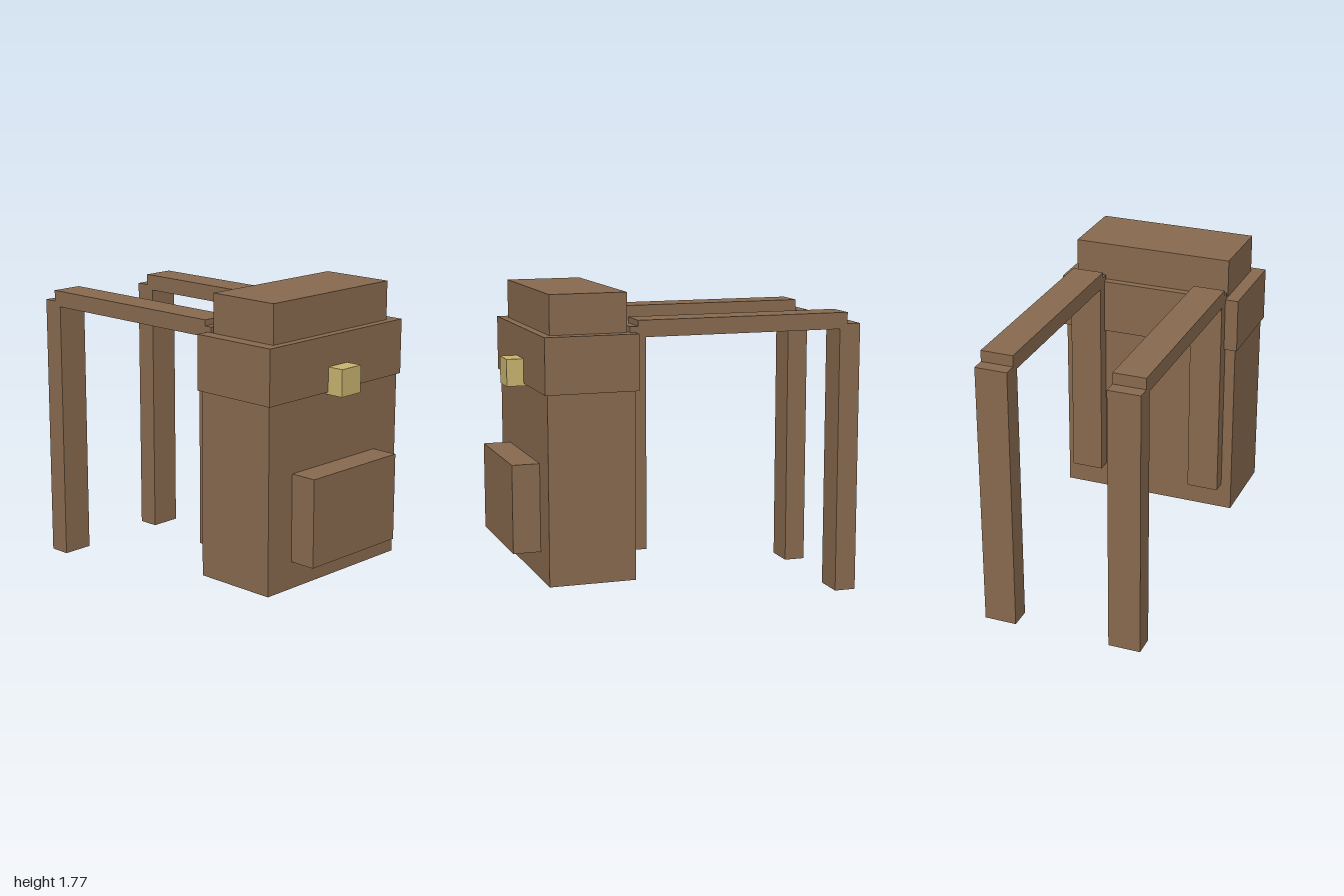
import * as THREE from 'three';

export function createModel() {
  const group = new THREE.Group();
  group.name = 'backpack';
  const leather = new THREE.MeshStandardMaterial({ color: 0x87694e });
  leather.name = 'brown leather';
  const brass = new THREE.MeshStandardMaterial({ color: 0xc8b26f });
  brass.name = 'pale brass';

  // Box given by its extents along each axis
  function box(name, material, [x0, x1], [y0, y1], [z0, z1]) {
    const mesh = new THREE.Mesh(new THREE.BoxGeometry(x1 - x0, y1 - y0, z1 - z0), material);
    mesh.position.set((x0 + x1) / 2, (y0 + y1) / 2, (z0 + z1) / 2);
    mesh.name = name;
    group.add(mesh);
  }

  // Bag
  box('body', leather, [-0.526, 0.526], [0.19, 1.3], [0.355, 0.845]);
  box('flap', leather, [-0.541, 0.541], [1.243, 1.553], [0.336, 0.861]);
  box('bedroll', leather, [-0.465, 0.465], [1.5, 1.772], [0.381, 0.814]);
  box('frontPocket', leather, [-0.341, 0.341], [0.344, 0.839], [0.8, 1]);
  box('buckle', brass, [-0.078, 0.078], [1.23, 1.382], [0.84, 0.957]);

  // Shoulder straps, mirrored left and right
  for (const [side, x] of [['left', [0.279, 0.465]], ['right', [-0.465, -0.279]]]) {
    box(side + 'BackStrap', leather, x, [0.344, 1.584], [0.274, 0.364]);
    box(side + 'TopStrap', leather, x, [1.524, 1.617], [-0.922, 0.318]);
    box(side + 'FrontStrap', leather, x, [0, 1.553], [-1, -0.876]);
  }
  return group;
}
